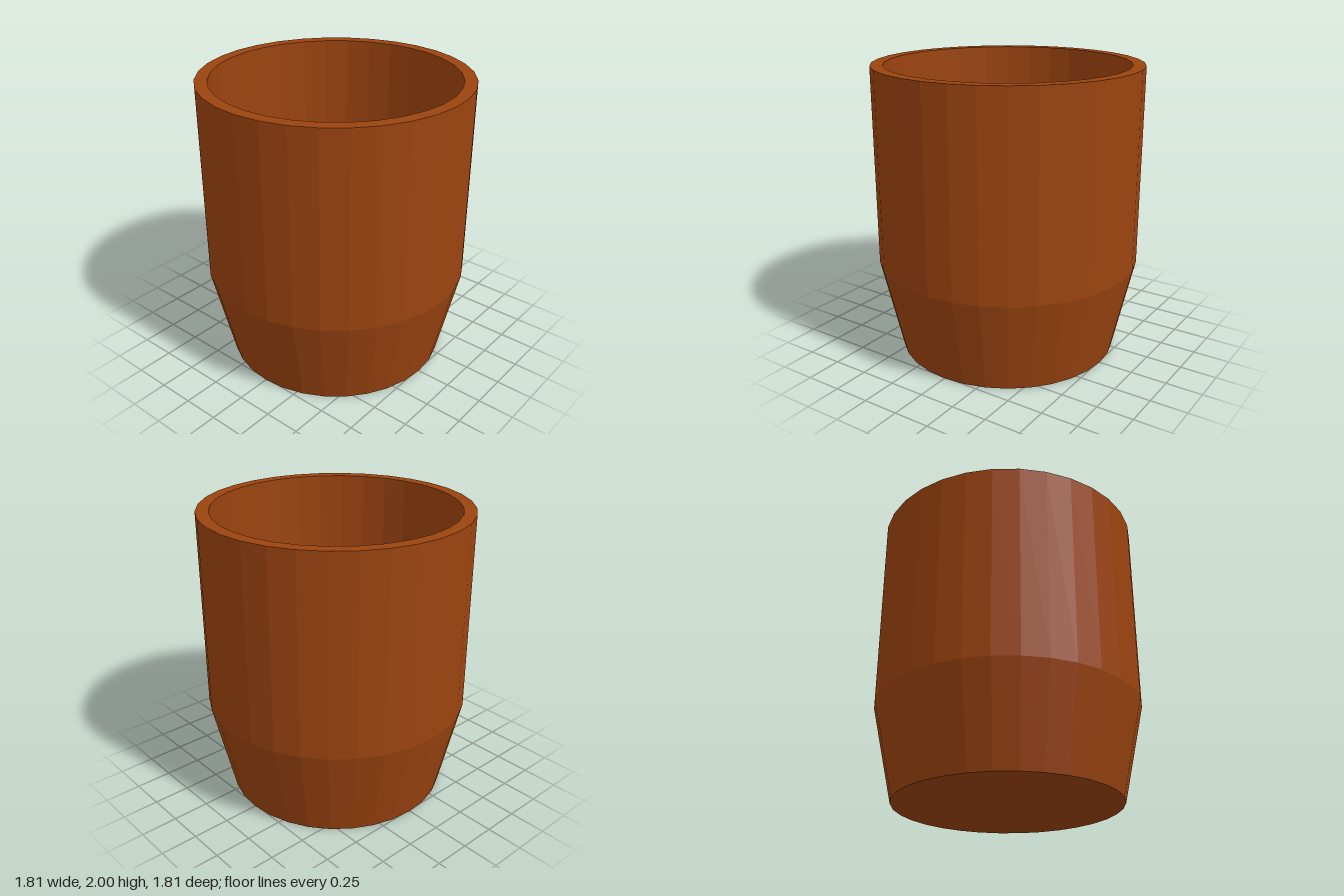
import * as THREE from 'three';

const SIDES = 32;

export function createModel() {
  const group = new THREE.Group();
  group.name = 'cup';

  const clay = new THREE.MeshStandardMaterial({ color: 0x9c4410, flatShading: true });

  // One closed profile: underside, tapered foot, straight wall, rim, inner wall, floor
  const profile = [
    [0, 0], [0.76, 0], [0.905, 0.65], [0.905, 2],
    [0.82, 2], [0.82, 0.66], [0.675, 0.09], [0, 0.09],
  ].map(([r, y]) => new THREE.Vector2(r, y));

  const body = new THREE.Mesh(new THREE.LatheGeometry(profile, SIDES), clay);
  body.name = 'cupBody';
  group.add(body);

  return group;
}
